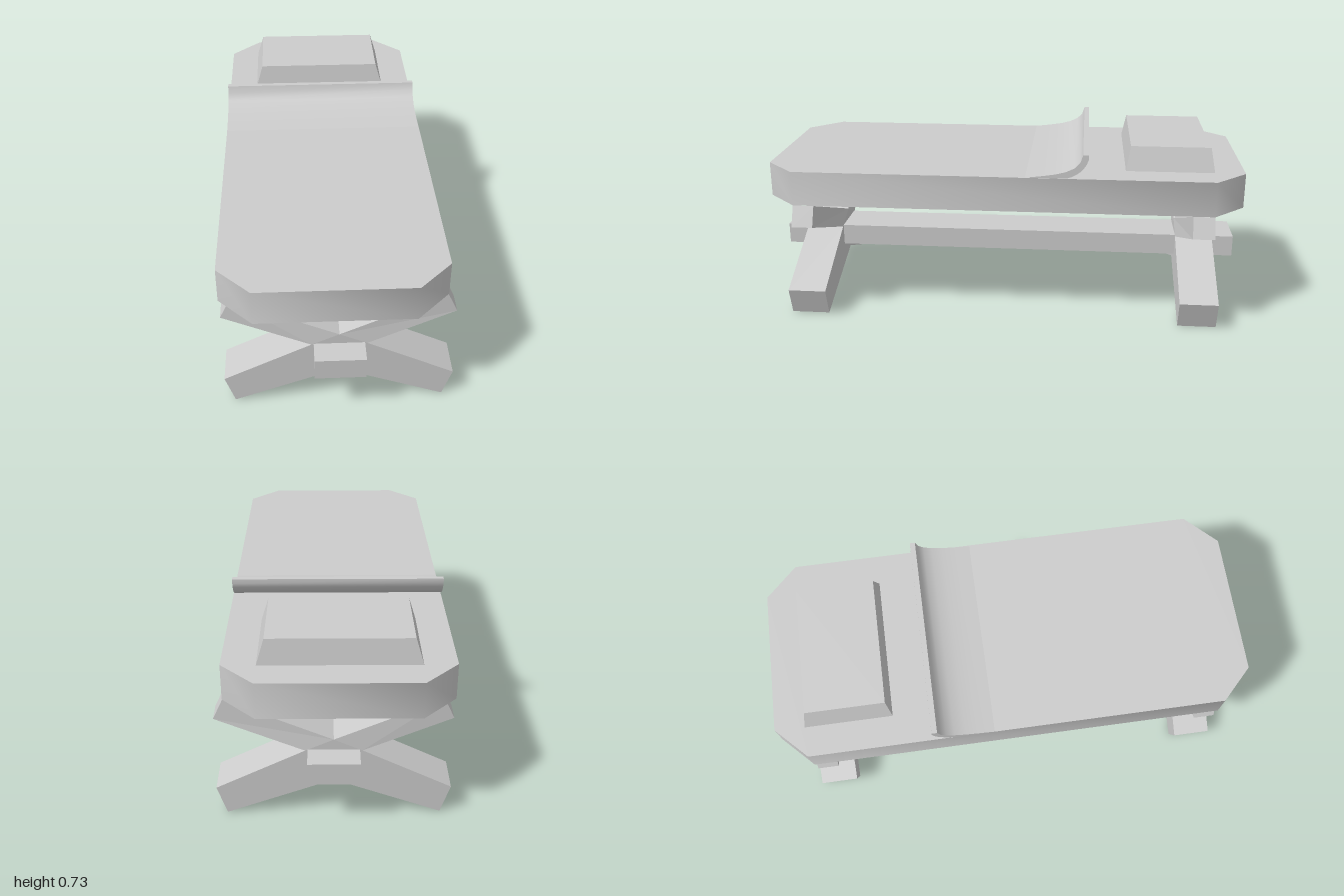
import * as THREE from 'three';
import { toCreasedNormals } from 'three/addons/utils/BufferGeometryUtils.js';

const shapeOf = pts => new THREE.Shape(pts.map(([x, y]) => new THREE.Vector2(x, y)));
const extrude = (shape, depth) => new THREE.ExtrudeGeometry(shape, { depth, bevelEnabled: false, curveSegments: 6 });

export function createModel() {
  const group = new THREE.Group();
  const grey = new THREE.MeshStandardMaterial({ color: 0xcccccc });
  grey.name = 'plain grey';

  const add = (name, geometry, parent = group) => {
    const mesh = new THREE.Mesh(geometry, grey);
    mesh.name = name;
    parent.add(mesh);
    return mesh;
  };

  // Mattress: cut-corner slab with sides shaded smoothly around the corners
  const l = -0.45, r = 0.41, c = 0.13;
  const slab = extrude(shapeOf([
    [l + c, -1], [r - c, -1], [r, -1 + c], [r, 1 - c],
    [r - c, 1], [l + c, 1], [l, 1 - c], [l, -1 + c],
  ]), 0.146);
  slab.rotateX(-Math.PI / 2).translate(0, 0.489, 0);
  add('mattress', toCreasedNormals(slab, 1));

  // Blanket edge curling up in front of the pillow; profile runs toward the head
  const curl = new THREE.Shape();
  curl.moveTo(0.1, 0.634);
  curl.lineTo(0.265, 0.634);
  curl.bezierCurveTo(0.31, 0.645, 0.345, 0.675, 0.356, 0.715);
  curl.lineTo(0.355, 0.734);
  curl.lineTo(0.333, 0.734);
  curl.bezierCurveTo(0.325, 0.66, 0.24, 0.65, 0.1, 0.635);
  const fold = extrude(curl, 0.856);
  fold.rotateY(Math.PI / 2).translate(-0.45, 0, 0);
  add('blanketFold', toCreasedNormals(fold, 0.7));

  // Pillow: block with a slightly smaller top
  const pillow = new THREE.BoxGeometry(0.605, 0.1, 0.365).toNonIndexed();
  const p = pillow.attributes.position;
  for (let i = 0; i < p.count; i++) {
    if (p.getY(i) > 0) p.setXYZ(i, p.getX(i) * 0.9, p.getY(i), p.getZ(i) * 0.9);
  }
  pillow.computeVertexNormals();
  add('pillow', pillow).position.set(-0.0225, 0.684, -0.693);

  // Long rail joining the two trestles
  add('rail', new THREE.BoxGeometry(0.196, 0.09, 2)).position.y = 0.245;

  // Crossed trestles: solid feet, with arms that narrow toward the bed
  const feet = extrude(shapeOf([
    [-0.447, 0.116], [-0.409, 0], [0, 0.152], [0.409, 0],
    [0.447, 0.116], [0.107, 0.286], [0, 0.335], [-0.107, 0.286],
  ]), 0.16).translate(0, 0, -0.08);

  const armGeometry = side => {
    const pts = [[0, 0.335], [0.107, 0.286], [0.447, 0.405], [0.409, 0.488]];
    const g = extrude(shapeOf(pts.map(([x, y]) => [x * side, y])), 0.16).translate(0, 0, -0.08);
    const a = g.attributes.position;
    for (let i = 0; i < a.count; i++) if (a.getY(i) > 0.4) a.setZ(i, a.getZ(i) * 0.55);
    g.computeVertexNormals();
    return g;
  };

  for (const [name, z] of [['footTrestle', 0.827], ['headTrestle', -0.827]]) {
    const trestle = new THREE.Group();
    trestle.name = name;
    trestle.position.z = z;
    add('feet', feet, trestle);
    add('leftArm', armGeometry(1), trestle);
    add('rightArm', armGeometry(-1), trestle);
    group.add(trestle);
  }

  return group;
}
